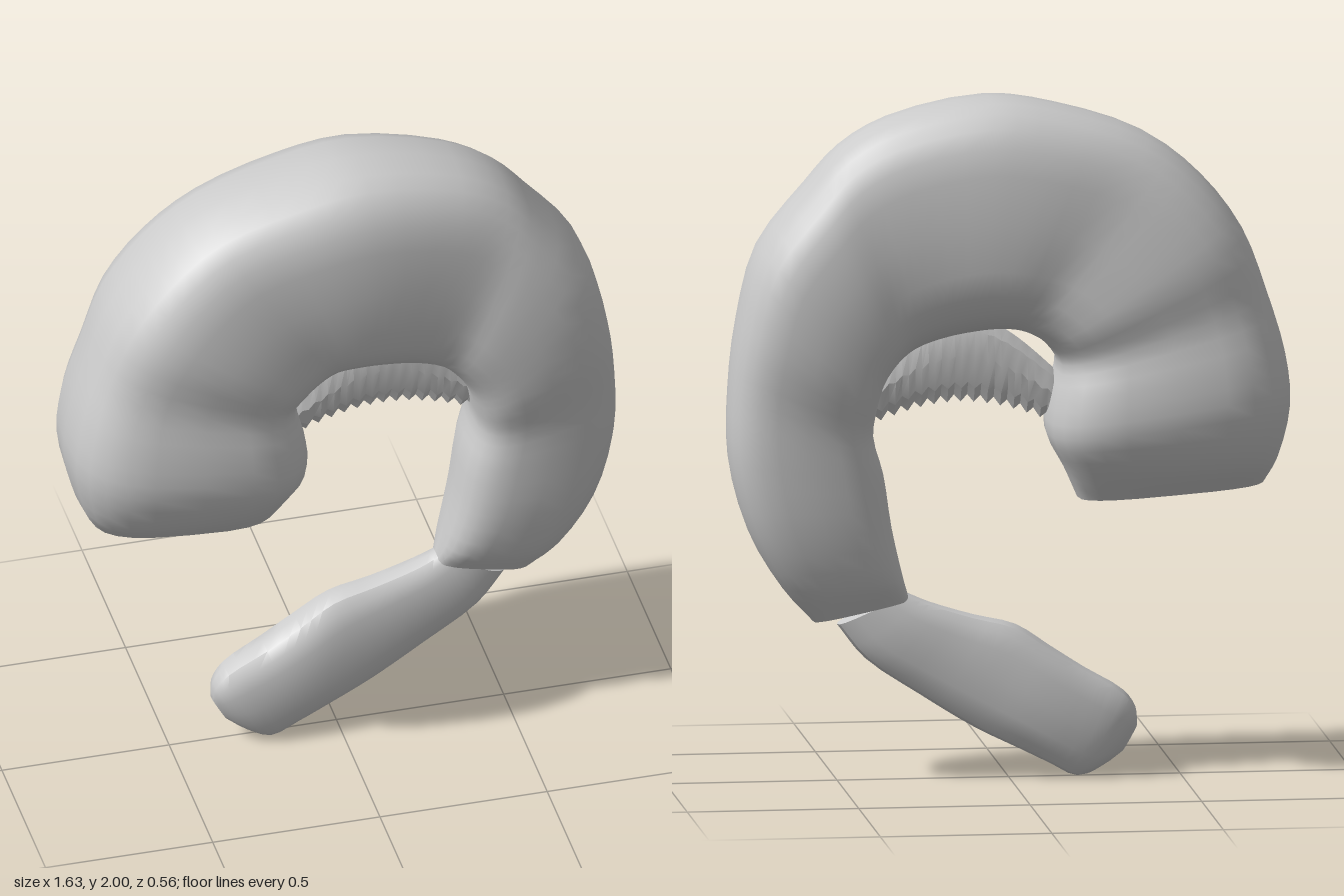
import * as THREE from 'three';
import { toCreasedNormals } from 'three/addons/utils/BufferGeometryUtils.js';

const material = new THREE.MeshStandardMaterial({ color: 0xcccccc, side: THREE.DoubleSide });

// Lofts rings between an outer and an inner edge.
// Station: [outerX, outerY, innerX, innerY, halfDepth]; power < 1 gives boxier rings.
function loft(name, stations, { sides = 24, power = 0.65, sub = 3, crease = 0.6 } = {}) {
  const outer = new THREE.CatmullRomCurve3(stations.map(s => new THREE.Vector3(s[0], s[1], s[4])));
  const inner = new THREE.CatmullRomCurve3(stations.map(s => new THREE.Vector3(s[2], s[3], 0)));
  const rows = (stations.length - 1) * sub;
  const pos = [], idx = [];
  const bend = v => Math.sign(v) * Math.abs(v) ** power;
  const centres = [];
  for (let i = 0; i <= rows; i++) {
    const o = outer.getPoint(i / rows), n = inner.getPoint(i / rows);
    const cx = (o.x + n.x) / 2, cy = (o.y + n.y) / 2;
    centres.push([cx, cy, 0]);
    for (let j = 0; j < sides; j++) {
      const a = j / sides * Math.PI * 2, u = bend(Math.cos(a)), w = bend(Math.sin(a));
      pos.push(cx + (o.x - cx) * u, cy + (o.y - cy) * u, o.z * w);
    }
  }
  pos.push(...centres[0], ...centres[rows]);
  const start = (rows + 1) * sides;
  for (let j = 0; j < sides; j++) {
    const k = (j + 1) % sides;
    for (let i = 0; i < rows; i++) {
      const a = i * sides + j, b = i * sides + k;
      idx.push(a, b, a + sides, b, b + sides, a + sides);
    }
    idx.push(start, k, j, start + 1, rows * sides + j, rows * sides + k);
  }
  const geo = new THREE.BufferGeometry();
  geo.setAttribute('position', new THREE.Float32BufferAttribute(pos, 3));
  geo.setIndex(idx);
  const mesh = new THREE.Mesh(toCreasedNormals(geo, crease), material);
  mesh.name = name;
  return mesh;
}

export function createModel() {
  const group = new THREE.Group();
  group.name = 'shrimp';

  // Curled body from the blunt head end round to the tail joint
  group.add(loft('body', [
    [-0.74, 0.86, -0.20, 0.82, 0.14],
    [-0.78, 0.94, -0.16, 0.91, 0.22],
    [-0.815, 1.10, -0.11, 1.01, 0.275],
    [-0.80, 1.25, -0.12, 1.13, 0.27],
    [-0.75, 1.42, -0.14, 1.22, 0.245],
    [-0.68, 1.60, -0.11, 1.27, 0.26],
    [-0.56, 1.76, -0.07, 1.30, 0.25],
    [-0.40, 1.885, -0.02, 1.32, 0.235],
    [-0.15, 1.97, 0.04, 1.325, 0.24],
    [0.06, 2.00, 0.10, 1.32, 0.235],
    [0.35, 1.94, 0.20, 1.30, 0.215],
    [0.49, 1.86, 0.28, 1.27, 0.21],
    [0.59, 1.75, 0.33, 1.23, 0.225],
    [0.73, 1.57, 0.37, 1.17, 0.23],
    [0.79, 1.35, 0.39, 1.10, 0.22],
    [0.815, 1.15, 0.40, 1.02, 0.19],
    [0.815, 0.95, 0.37, 0.91, 0.18],
    [0.76, 0.74, 0.345, 0.75, 0.165],
    [0.66, 0.57, 0.31, 0.60, 0.125],
    [0.57, 0.47, 0.29, 0.53, 0.06],
  ]));

  // Flattened tail fan
  group.add(loft('tail', [
    [0.50, 0.46, 0.30, 0.55, 0.05],
    [0.42, 0.36, 0.23, 0.52, 0.06],
    [0.26, 0.25, 0.10, 0.48, 0.065],
    [0.10, 0.15, -0.02, 0.45, 0.075],
    [-0.03, 0.085, -0.12, 0.385, 0.085],
    [-0.12, 0.04, -0.22, 0.32, 0.085],
    [-0.20, 0.002, -0.335, 0.25, 0.075],
    [-0.27, 0.03, -0.37, 0.20, 0.055],
    [-0.33, 0.07, -0.375, 0.15, 0.02],
  ], { sides: 16, power: 0.75 }));

  // Thin web of legs under the arch, with a ragged lower edge
  const web = [];
  for (let i = 0; i <= 28; i++) {
    const t = i / 28, x = -0.13 + t * 0.54;
    const top = 1.2 + 0.16 * Math.sin(Math.PI * t);
    const low = 1.04 + 0.065 * Math.sin(Math.PI * t) + (i % 2 ? 0.022 : 0);
    web.push([x, top, x, low, 0.035]);
  }
  group.add(loft('legs', web, { sides: 8, power: 1.2, sub: 1, crease: 0.4 }));
  return group;
}
